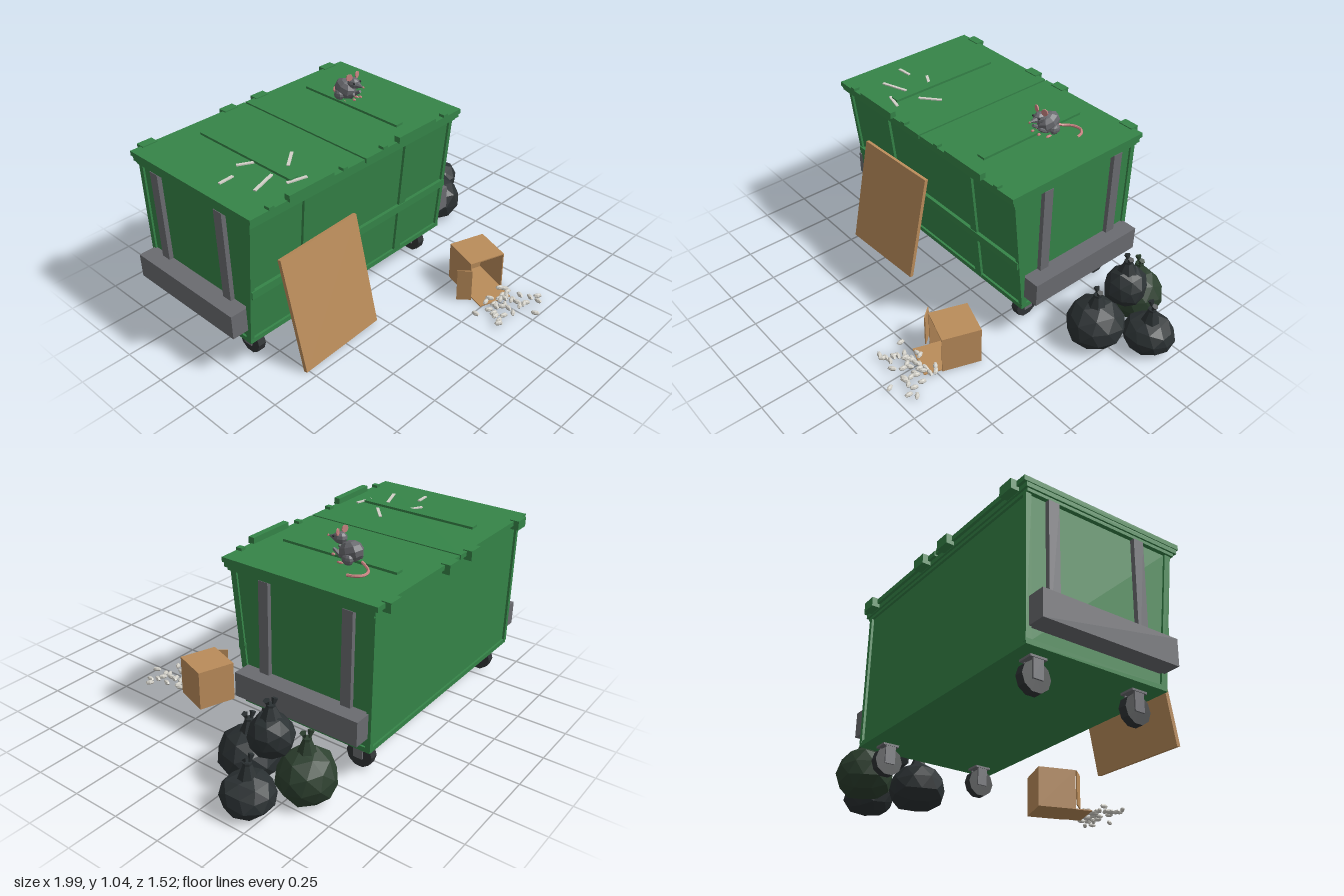
import * as THREE from 'three';

const mat = (name, color, extra = {}) => {
  const m = new THREE.MeshStandardMaterial({ color, flatShading: true, ...extra });
  m.name = name;
  return m;
};

export function createModel() {
  const green = mat('binGreen', 0x358448);
  const steel = mat('steelGrey', 0x6a6b70);
  const black = mat('bagBlack', 0x2b3133);
  const bagGreen = mat('bagGreen', 0x2d402f);
  const rubber = mat('rubber', 0x303436);
  const card = mat('cardboard', 0xba8c5a, { side: THREE.DoubleSide });
  const foam = mat('foam', 0xd2d0c8);
  const fur = mat('fur', 0x68696e);
  const pink = mat('pink', 0xc98482);

  const root = new THREE.Group();
  const group = (name, parent = root) => {
    const g = new THREE.Group();
    g.name = name;
    parent.add(g);
    return g;
  };
  const add = (parent, name, geo, material, x = 0, y = 0, z = 0) => {
    const m = new THREE.Mesh(geo, material);
    m.name = name;
    m.position.set(x, y, z);
    parent.add(m);
    return m;
  };
  // Box given by its limits on each axis
  const slab = (parent, name, material, [x0, x1], [y0, y1], [z0, z1]) =>
    add(parent, name, new THREE.BoxGeometry(x1 - x0, y1 - y0, z1 - z0), material,
      (x0 + x1) / 2, (y0 + y1) / 2, (z0 + z1) / 2);
  const ball = (parent, name, material, r, [sx, sy, sz], x, y, z, w = 8, h = 6) => {
    const m = add(parent, name, new THREE.SphereGeometry(r, w, h), material, x, y, z);
    m.scale.set(sx, sy, sz);
    return m;
  };
  let seed = 7;
  const rand = () => (seed = (seed * 16807) % 2147483647) / 2147483647;

  // Bin body: side profile (z, y) extruded across the width
  const CX = -0.258;
  const bin = group('bin');
  const profile = (pts, width) => {
    const g = new THREE.ExtrudeGeometry(
      new THREE.Shape(pts.map(p => new THREE.Vector2(...p))), { depth: width, bevelEnabled: false });
    return g.translate(0, 0, -width / 2).rotateY(-Math.PI / 2);
  };
  add(bin, 'body', profile([[-0.70, 0.155], [-0.01, 0.155], [0.065, 0.84], [-0.70, 0.84]], 1.29), green, CX);
  const frontZ = y => -0.01 + (y - 0.155) * 0.1095;

  // Corner posts, floor frame and front ribs
  const frontStrip = (name, x, w, t) =>
    add(bin, name, profile([[frontZ(0.16) - 0.02, 0.16], [frontZ(0.16) + t, 0.16],
      [frontZ(0.83) + t, 0.83], [frontZ(0.83) - 0.02, 0.83]], w), green, x);
  for (const s of [-1, 1]) {
    frontStrip('frontCorner', CX + s * 0.644, 0.022, 0.012);
    frontStrip('frontRib', CX + s * 0.327, 0.045, 0.014);
    slab(bin, 'backCorner', green, [CX + s * 0.644 - 0.011, CX + s * 0.644 + 0.011], [0.16, 0.83], [-0.712, -0.685]);
  }
  slab(bin, 'crossRib', green, [CX - 0.65, CX + 0.65], [0.42, 0.46], [0.0, frontZ(0.44) + 0.02]);
  slab(bin, 'floorFrame', green, [CX - 0.655, CX + 0.655], [0.148, 0.172], [-0.71, 0.004]);
  slab(bin, 'lowerRim', green, [CX - 0.665, CX + 0.665], [0.82, 0.84], [-0.712, 0.085]);
  slab(bin, 'upperRim', green, [CX - 0.673, CX + 0.673], [0.835, 0.856], [-0.722, 0.098]);

  // Side bars and lifting pockets
  for (const s of [-1, 1]) {
    const side = group(s < 0 ? 'rightSideFittings' : 'leftSideFittings', bin);
    const span = (a, b) => (s < 0 ? [CX - b, CX - a] : [CX + a, CX + b]);
    for (const z of [-0.125, -0.582])
      slab(side, 'sideBar', steel, span(0.64, 0.668), [0.23, 0.82], [z - 0.027, z + 0.027]);
    slab(side, 'liftPocket', steel, span(0.64, 0.74), [0.225, 0.35], [-0.697, -0.008]);
  }

  // Two lids with ribs, handles, bumpers and hinges
  for (const s of [-1, 1]) {
    const lid = group(s < 0 ? 'rightLid' : 'leftLid', bin);
    const at = (name, c, w, y, z) => slab(lid, name, green, [CX + s * c - w / 2, CX + s * c + w / 2], y, z);
    at('lidPanel', 0.3405, 0.671, [0.857, 0.881], [-0.735, 0.107]);
    at('lidRib', 0.339, 0.045, [0.88, 0.893], [-0.625, 0.005]);
    at('lidHandle', 0.341, 0.26, [0.878, 0.911], [0.09, 0.122]);
    for (const c of [0.129, 0.56]) at('lidBumper', c, 0.028, [0.88, 0.895], [0.078, 0.11]);
    for (const c of [0.1, 0.58]) at('hinge', c, 0.08, [0.838, 0.886], [-0.762, -0.715]);
  }

  // Casters
  for (const x of [CX - 0.565, CX + 0.565]) for (const z of [-0.1, -0.61]) {
    const caster = group('caster', bin);
    caster.position.set(x, 0, z);
    add(caster, 'tire', new THREE.CylinderGeometry(0.068, 0.068, 0.042, 10).rotateZ(Math.PI / 2), rubber, 0, 0.068, 0);
    slab(caster, 'casterPlate', steel, [-0.036, 0.036], [0.138, 0.156], [-0.04, 0.04]);
    for (const s of [-1, 1])
      add(caster, 'fork', new THREE.BoxGeometry(0.008, 0.095, 0.05), steel, s * 0.029, 0.1, 0);
  }

  // Bin bags: faceted balls flattened on the ground, with a tied neck
  const bag = (name, material, x, y, z, r, h, tip) => {
    const g = group(name);
    g.position.set(x, y, z);
    const geo = new THREE.IcosahedronGeometry(1, 1).rotateZ(0.3).rotateY(x * 9);
    const p = geo.attributes.position;
    for (let i = 0; i < p.count; i++) {
      const [a, b, c] = [p.getX(i), p.getY(i), p.getZ(i)];
      const k = 1 + 0.05 * Math.sin(a * 7 + x * 20) * Math.cos(c * 6 + b * 4);
      p.setXYZ(i, a * r * k, Math.max(0, h * (0.45 + 0.55 * b * k)), c * r * k);
    }
    geo.computeVertexNormals();
    add(g, 'sack', geo, material);
    add(g, 'neck', new THREE.CylinderGeometry(0.016, 0.05, tip - h, 7), material, 0, h + (tip - h) * 0.2, 0);
    add(g, 'knot', new THREE.CylinderGeometry(0.021, 0.021, 0.015, 7), material, 0, h + (tip - h) * 0.6, 0);
    for (const s of [-1, 1]) {
      const ear = add(g, 'tiedEnd', new THREE.ConeGeometry(0.016, 0.05, 5).rotateX(Math.PI),
        material, s * 0.01, tip - 0.018, s * 0.008);
      ear.rotation.z = -s * 0.4;
    }
  };
  bag('frontBag', black, 0.66, 0, -0.245, 0.15, 0.235, 0.31);
  bag('backBag', bagGreen, 0.645, 0, -0.555, 0.14, 0.25, 0.33);
  bag('outerBag', black, 0.865, 0, -0.41, 0.128, 0.18, 0.27);
  bag('topBag', black, 0.695, 0.19, -0.4, 0.107, 0.2, 0.265);

  // Cardboard sheet leaning on the front
  const sheet = add(root, 'cardboardSheet', new THREE.BoxGeometry(0.49, 0.59, 0.02), card, -0.525, 0.29, 0.126);
  sheet.rotation.set(-0.215, 0.04, 0, 'YXZ');

  // Open cardboard box lying on its side
  const box = group('cardboardBox');
  box.position.set(0.3, 0, 0.348);
  box.rotation.y = -0.34;
  const T = 0.006;
  slab(box, 'boxBottom', card, [-0.098, 0.098], [0, T], [-0.1, 0.1]);
  slab(box, 'boxTop', card, [-0.098, 0.098], [0.21 - T, 0.21], [-0.1, 0.1]);
  slab(box, 'boxBack', card, [-0.098, 0.098], [0, 0.21], [-0.1, -0.1 + T]);
  for (const s of [-1, 1])
    slab(box, 'boxWall', card, [s * 0.095 - T / 2, s * 0.095 + T / 2], [0, 0.21], [-0.1, 0.1]);
  slab(box, 'lowerFlap', card, [-0.09, 0.09], [0, T], [0.1, 0.19]);
  const flap = add(box, 'sideFlap', new THREE.BoxGeometry(0.075, 0.18, T), card, -0.132, 0.092, 0.1);
  flap.rotation.y = -0.55;

  // Packing foam spilled from the box
  const spill = group('packingFoam');
  for (let i = 0; i < 34; i++) {
    const t = rand();
    const bit = ball(spill, 'foamPiece', foam, 0.012, [1, 1, 2],
      0.24 + (rand() - 0.5) * (0.2 + 0.14 * t), i % 4 ? 0.013 : 0.022, 0.49 + 0.18 * t, 6, 4);
    bit.rotation.y = rand() * Math.PI;
  }
  for (const [x, z, a] of [[0.29, 0.735, 0.4], [0.38, 0.69, -0.1], [0.41, 0.665, 0.9], [0.085, 0.52, 0]])
    ball(spill, 'foamPiece', foam, 0.012, [1, 1, 2], x, 0.013, z, 6, 4).rotation.y = a;

  // Paper strips on the lid: x, z, length, turn
  const scraps = group('paperStrips');
  for (const [x, z, l, a] of [[-0.8, -0.21, 0.08, 0.06], [-0.655, -0.256, 0.08, -0.5],
    [-0.49, -0.142, 0.12, 0.7], [-0.705, -0.075, 0.145, 0.33], [-0.59, 0.014, 0.1, -0.25]])
    add(scraps, 'paperStrip', new THREE.BoxGeometry(l, 0.006, 0.015), foam, x, 0.884, z).rotation.y = a;

  // Rat sitting on the lid, facing front
  const rat = group('rat');
  rat.position.set(0.115, 0.881, -0.38);
  ball(rat, 'body', fur, 0.05, [0.95, 1.02, 1.3], 0, 0.056, -0.012).rotation.x = 0.35;
  ball(rat, 'head', fur, 0.03, [0.95, 0.95, 1.2], 0, 0.106, 0.048);
  add(rat, 'snout', new THREE.ConeGeometry(0.024, 0.055, 7).rotateX(Math.PI / 2), fur, 0, 0.102, 0.087);
  ball(rat, 'nose', pink, 0.006, [1, 1, 1], 0, 0.102, 0.114, 6, 4);
  for (const s of [-1, 1]) {
    const ear = add(rat, 'ear', new THREE.CylinderGeometry(0.018, 0.018, 0.006, 8).rotateX(Math.PI / 2),
      pink, s * 0.027, 0.141, 0.044);
    ear.rotation.y = s * 0.3;
    ball(rat, 'eye', rubber, 0.006, [1, 1, 1], s * 0.021, 0.115, 0.071, 6, 4);
    ball(rat, 'haunch', fur, 0.026, [0.7, 1, 1.2], s * 0.04, 0.03, -0.02);
    ball(rat, 'hindFoot', pink, 0.01, [0.8, 0.6, 2], s * 0.04, 0.007, 0.02, 6, 4);
    const arm = add(rat, 'foreleg', new THREE.CylinderGeometry(0.008, 0.011, 0.05, 6), fur, s * 0.022, 0.044, 0.048);
    arm.rotation.x = 1.0;
    ball(rat, 'paw', pink, 0.008, [1, 0.8, 1.3], s * 0.022, 0.028, 0.07, 6, 4);
  }
  const tail = new THREE.CatmullRomCurve3([[0, 0.02, -0.07], [0.01, 0.008, -0.1], [0.045, 0.007, -0.135],
    [0.09, 0.007, -0.143], [0.12, 0.007, -0.12], [0.133, 0.007, -0.08]].map(p => new THREE.Vector3(...p)));
  add(rat, 'tail', new THREE.TubeGeometry(tail, 16, 0.007, 6), pink);

  return root;
}
